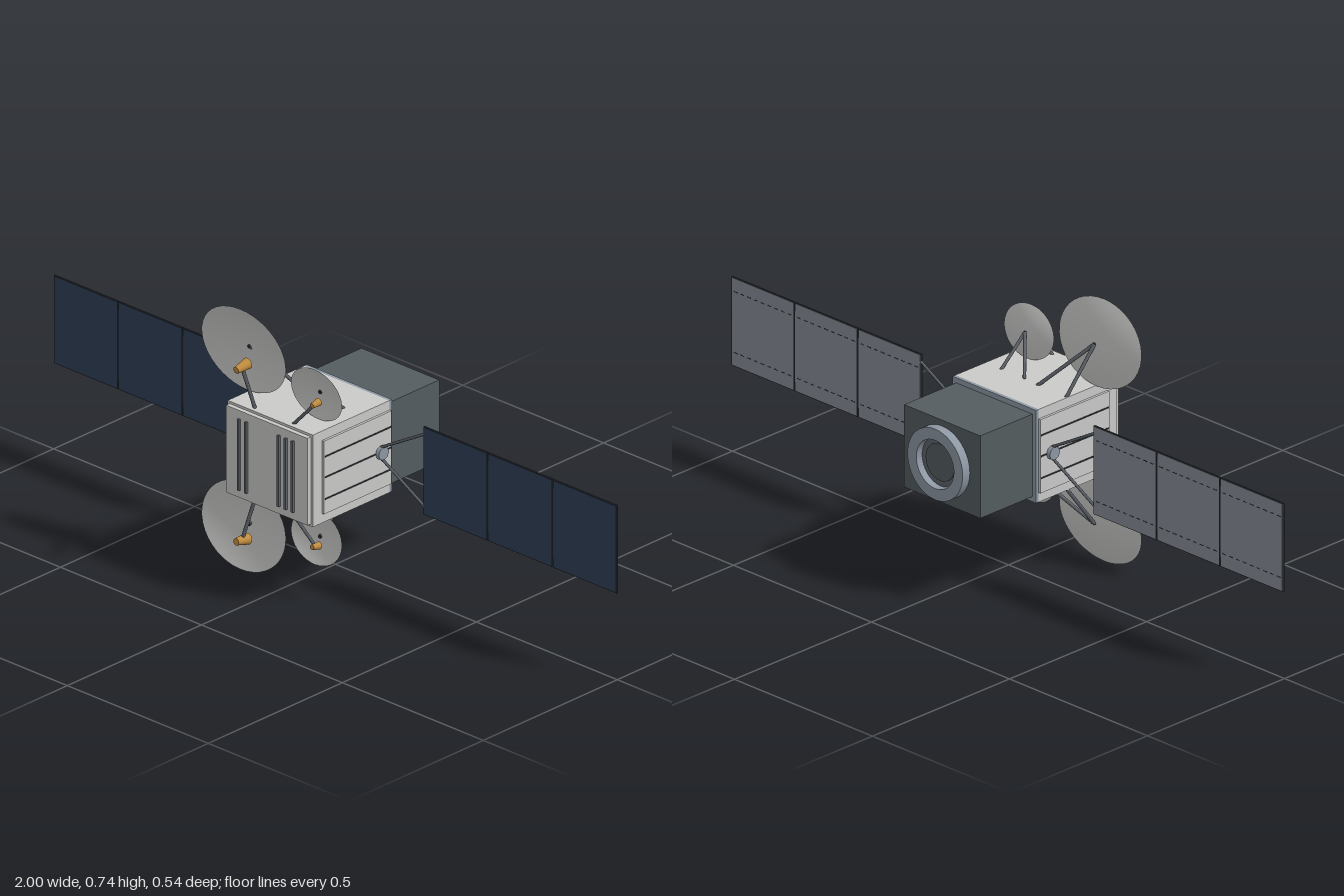
import * as THREE from 'three';
import { mergeGeometries } from 'three/addons/utils/BufferGeometryUtils.js';

const CY = 0.374; // height of the long axis of the craft

function material(name, color, side = THREE.FrontSide) {
  const m = new THREE.MeshStandardMaterial({ color, side });
  m.name = name;
  return m;
}

const V = (x, y, z) => new THREE.Vector3(x, y, z);

export function createModel() {
  const mats = {
    hull: material('hull light grey', 0xcacbc9),
    dish: material('dish light grey', 0xcacbc9, THREE.DoubleSide),
    slate: material('engine bay slate', 0x545d60),
    cells: material('solar cell navy', 0x2f3f56),
    panelBack: material('panel back grey', 0x868d97),
    steel: material('ring steel grey', 0x8e98a4),
    strut: material('strut grey', 0x5d6268),
    dark: material('dark trim', 0x2b3033),
    gold: material('feed gold', 0xc08c40),
  };
  const root = new THREE.Group();
  root.name = 'satellite';

  const add = (name, geometry, mat, parent = root) => {
    const mesh = new THREE.Mesh(geometry, mat);
    mesh.name = name;
    parent.add(mesh);
    return mesh;
  };
  const boxGeo = (w, h, d, x, y, z) => new THREE.BoxGeometry(w, h, d).translate(x, y, z);
  const box = (name, w, h, d, x, y, z, mat, parent) =>
    add(name, boxGeo(w, h, d, x, y, z), mat, parent);
  // Tapered round bar running from a to b
  const bar = (name, a, b, ra, rb, mat, parent, sides = 10) => {
    const dir = b.clone().sub(a);
    const mesh = add(name, new THREE.CylinderGeometry(rb, ra, dir.length(), sides), mat, parent);
    mesh.position.copy(a).lerp(b, 0.5);
    mesh.quaternion.setFromUnitVectors(V(0, 1, 0), dir.normalize());
    return mesh;
  };

  // Main body
  box('body', 0.302, 0.262, 0.285, 0, CY, 0.1005, mats.hull);
  box('rearFlange', 0.302, 0.262, 0.01, 0, CY, -0.047, mats.steel);
  box('frontPlate', 0.288, 0.248, 0.013, 0, CY, 0.2495, mats.hull);
  for (const x of [-0.096, -0.07, 0.045, 0.07, 0.095]) {
    box('frontFin', 0.007, 0.202, 0.007, x, CY, 0.2595, mats.strut);
  }

  // Engine bay and nozzle ring at the rear
  box('engineBay', 0.276, 0.233, 0.19, 0, CY, -0.147, mats.slate);
  const ringShape = new THREE.Shape().absarc(0, 0, 0.1, 0, Math.PI * 2);
  ringShape.holes.push(new THREE.Path().absarc(0, 0, 0.068, 0, Math.PI * 2));
  add('nozzleRing', new THREE.ExtrudeGeometry(ringShape, {
    depth: 0.027, bevelEnabled: false, curveSegments: 32,
  }).translate(0, CY, -0.268), mats.steel);
  const innerRing = new THREE.CylinderGeometry(0.068, 0.068, 0.006, 32).rotateX(Math.PI / 2);
  add('nozzleStep', innerRing.translate(0, CY, -0.244), mats.strut);
  const throat = new THREE.CylinderGeometry(0.052, 0.052, 0.004, 32).rotateX(Math.PI / 2);
  add('nozzleThroat', throat.translate(0, CY, -0.248), mats.slate);

  // Side plates, hubs and solar wings
  for (const s of [1, -1]) {
    const side = s > 0 ? 'left' : 'right';
    box(side + 'SidePlate', 0.007, 0.208, 0.252, s * 0.1545, CY, 0.083, mats.hull);
    for (const y of [0.433, 0.374, 0.312]) {
      box(side + 'SideGroove', 0.002, 0.004, 0.246, s * 0.1585, y, 0.082, mats.dark);
    }

    const wing = new THREE.Group();
    wing.name = side + 'SolarWing';
    root.add(wing);
    const hub = new THREE.CylinderGeometry(0.019, 0.019, 0.016, 8).rotateZ(Math.PI / 2);
    add('wingHub', hub.translate(s * 0.162, CY, -0.002), mats.steel, wing);
    for (const v of [1, -1]) {
      bar('wingStrut', V(s * 0.158, CY + v * 0.014, -0.002), V(s * 0.316, CY + v * 0.104, -0.002),
        0.004, 0.004, mats.strut, wing, 8);
    }
    for (let i = 0; i < 3; i++) {
      const x = s * (0.4265 + i * 0.2295);
      box('panelFrame', 0.227, 0.25, 0.005, x, CY, -0.002, mats.dark, wing);
      box('solarCells', 0.223, 0.246, 0.001, x, CY, 0.001, mats.cells, wing);
      box('panelBack', 0.223, 0.246, 0.001, x, CY, -0.005, mats.panelBack, wing);
      const dashes = [];
      for (let k = 0; k < 9; k++) {
        for (const v of [1, -1]) {
          dashes.push(boxGeo(0.013, 0.0025, 0.0008, x + (k - 4) * 0.0245, CY + v * 0.086, -0.0056));
        }
      }
      add('panelBackDashes', mergeGeometries(dashes), mats.dark, wing);
    }
    if (s > 0) {
      // Hinge bars joining the three panels of both wings
      for (const w of [1, -1]) for (const x of [0.5413, 0.7708]) {
        box('panelHinge', 0.004, 0.2, 0.004, w * x, CY, -0.002, mats.dark);
      }
    }
  }

  // Dish antennas: shallow elliptical bowls with a V brace and a horn on a mast
  const antennas = [
    { name: 'large', x: -0.157, y: 0.251, z: 0.177, rx: 0.149, ry: 0.12, depth: 0.022,
      feet: [-0.04, -0.145], footZ: 0.064, r: 0.005,
      horn: [-0.095, 0.247, 0.249], mast: -0.07, len: 0.044, wide: 0.0155, narrow: 0.0095 },
    { name: 'small', x: 0.095, y: 0.204, z: 0.1705, rx: 0.09, ry: 0.074, depth: 0.015,
      feet: [0.01, 0.095], footZ: 0.068, r: 0.0045,
      horn: [0.131, 0.203, 0.212], mast: 0.065, len: 0.026, wide: 0.0105, narrow: 0.007 },
  ];
  const profile = [];
  for (let i = 0; i <= 10; i++) profile.push(new THREE.Vector2(i / 10, (i / 10) ** 2 - 1));

  for (const v of [1, -1]) for (const a of antennas) {
    const g = new THREE.Group();
    g.name = (v > 0 ? 'upper' : 'lower') + (a.name === 'large' ? 'LargeAntenna' : 'SmallAntenna');
    root.add(g);
    const at = (x, y, z) => V(x, CY + v * y, z);

    const bowl = new THREE.LatheGeometry(profile, 40).rotateX(Math.PI / 2);
    bowl.scale(a.rx, a.ry, a.depth);
    const dish = add('dish', bowl, mats.dish, g);
    dish.position.copy(at(a.x, a.y, a.z));
    dish.rotation.x = v * 0.107;

    const apex = at(a.x, a.y + 0.002, a.z - a.depth);
    for (const fx of a.feet) {
      bar('dishBrace', at(fx, 0.128, a.footZ), apex, a.r, a.r, mats.strut, g);
    }
    const spot = new THREE.CylinderGeometry(0.005, 0.005, 0.004, 12).rotateX(Math.PI / 2);
    add('dishHubCap', spot, mats.dark, g).position.copy(apex).add(V(0, 0, 0.002));

    // Horn opens back towards the dish
    const horn = at(...a.horn);
    const aim = V(0, v * 0.14, -1).normalize().multiplyScalar(a.len / 2);
    bar('feedHorn', horn.clone().sub(aim), horn.clone().add(aim), a.narrow, a.wide, mats.gold, g, 20);
    bar('feedMast', at(a.mast, 0.128, 0.226), horn, a.r, a.r, mats.strut, g);
  }

  return root;
}
